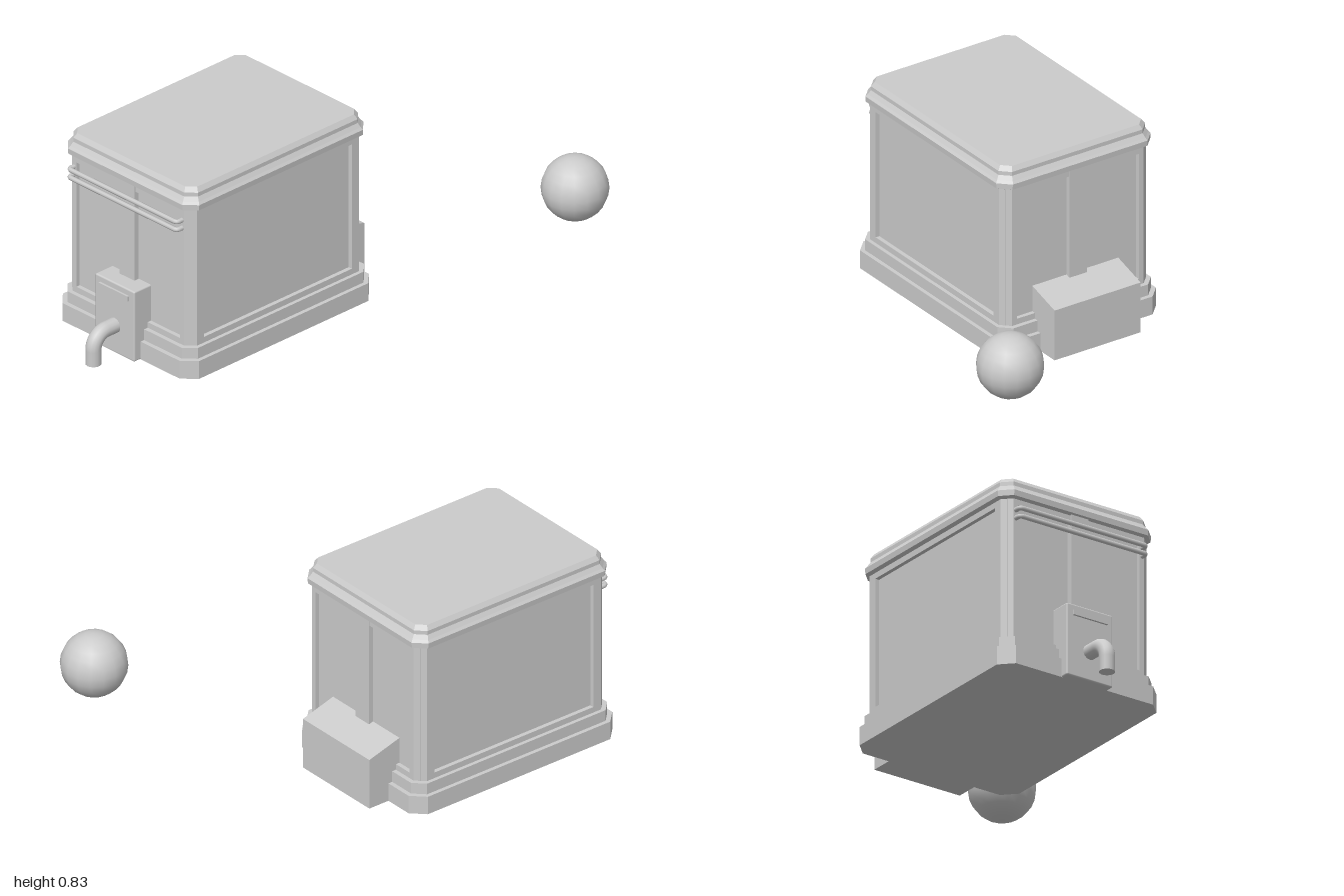
import * as THREE from 'three';
import { RoundedBoxGeometry } from 'three/addons/geometries/RoundedBoxGeometry.js';

const smooth = new THREE.MeshStandardMaterial({ color: 0xcccccc });
const flat = new THREE.MeshStandardMaterial({ color: 0xcccccc, flatShading: true });

function add(parent, name, geometry, x = 0, y = 0, z = 0, material = flat) {
  const mesh = new THREE.Mesh(geometry, material);
  mesh.name = name;
  mesh.position.set(x, y, z);
  parent.add(mesh);
  return mesh;
}

// Stack of rectangles with cut corners; each level is [halfX, halfZ, cut, y]
function cutCornerStack(levels) {
  const pos = [], index = [], n = 8, last = (levels.length - 1) * n;
  for (const [w, d, c, y] of levels) {
    const ring = [[w, -d + c], [w, d - c], [w - c, d], [-w + c, d],
      [-w, d - c], [-w, -d + c], [-w + c, -d], [w - c, -d]];
    for (const [x, z] of ring) pos.push(x, y, z);
  }
  for (let i = 0; i < last; i += n) {
    for (let j = 0; j < n; j++) {
      const a = i + j, d = i + (j + 1) % n;
      index.push(a, a + n, d + n, a, d + n, d);
    }
  }
  for (let j = 1; j < n - 1; j++) {
    index.push(0, j, j + 1, last, last + j + 1, last + j);
  }
  const g = new THREE.BufferGeometry();
  g.setAttribute('position', new THREE.Float32BufferAttribute(pos, 3));
  g.setIndex(index);
  const out = g.toNonIndexed();
  out.computeVertexNormals();
  return out;
}

const prism = (w, d, c, y0, y1) => cutCornerStack([[w, d, c, y0], [w, d, c, y1]]);

const polygon = (points) => new THREE.Shape(points.map(([x, y]) => new THREE.Vector2(x, y)));

export function createModel() {
  const model = new THREE.Group();
  const building = new THREE.Group();
  building.name = 'building';
  building.position.set(-0.284, 0, 0.305);
  model.add(building);

  // Stepped base
  add(building, 'baseLower', prism(0.384, 0.514, 0.054, 0.005, 0.084));
  add(building, 'baseUpper', prism(0.367, 0.495, 0.045, 0.084, 0.132));

  // Recessed wall panels framed by collars and corner posts
  add(building, 'wallPanels', new THREE.BoxGeometry(0.666, 0.61, 0.916), 0, 0.435, 0);
  add(building, 'lowerCollar', prism(0.351, 0.476, 0.037, 0.13, 0.157));
  add(building, 'upperCollar', prism(0.351, 0.476, 0.037, 0.71, 0.742));
  for (const sx of [-1, 1]) {
    for (const sz of [-1, 1]) {
      const outline = [[0.291, 0.476], [0.314, 0.476], [0.351, 0.439], [0.351, 0.401], [0.291, 0.401]];
      const post = new THREE.ExtrudeGeometry(
        polygon(outline.map(([x, z]) => [x * sx, z * sz])),
        { depth: 0.57, bevelEnabled: false });
      post.rotateX(-Math.PI / 2);
      add(building, 'cornerPost', post, 0, 0.15, 0);
    }
  }

  // Moulded roof
  add(building, 'roof', cutCornerStack([
    [0.354, 0.478, 0.038, 0.735],
    [0.367, 0.49, 0.045, 0.742],
    [0.369, 0.492, 0.047, 0.766],
    [0.361, 0.484, 0.044, 0.776],
    [0.350, 0.472, 0.038, 0.793],
    [0.350, 0.472, 0.038, 0.81],
    [0.337, 0.459, 0.033, 0.829],
  ]));

  // Centre strips on the front and back walls
  add(building, 'frontStrip', new THREE.BoxGeometry(0.083, 0.61, 0.04), 0, 0.435, 0.462);
  add(building, 'backStrip', new THREE.BoxGeometry(0.083, 0.61, 0.04), 0, 0.435, -0.458);

  // Two rails with ends turned in to the front wall
  for (const y of [0.687, 0.652]) {
    const path = new THREE.CurvePath();
    const v = (x, z) => new THREE.Vector3(x, y, z);
    path.add(new THREE.LineCurve3(v(-0.304, 0.465), v(-0.304, 0.49)));
    path.add(new THREE.QuadraticBezierCurve3(v(-0.304, 0.49), v(-0.304, 0.505), v(-0.289, 0.505)));
    path.add(new THREE.LineCurve3(v(-0.289, 0.505), v(0.289, 0.505)));
    path.add(new THREE.QuadraticBezierCurve3(v(0.289, 0.505), v(0.304, 0.505), v(0.304, 0.49)));
    path.add(new THREE.LineCurve3(v(0.304, 0.49), v(0.304, 0.465)));
    add(building, 'frontRail', new THREE.TubeGeometry(path, 160, 0.01, 8), 0, 0, 0, smooth);
  }

  // Front outlet box with its slot plate
  add(building, 'outletBox', new RoundedBoxGeometry(0.221, 0.311, 0.11, 2, 0.007), 0, 0.1605, 0.494, smooth);
  add(building, 'slotPlate', new THREE.BoxGeometry(0.164, 0.022, 0.02), 0, 0.278, 0.548);

  // Spout bending down to the ground
  const spout = new THREE.CurvePath();
  const p = (y, z) => new THREE.Vector3(0, y, z);
  spout.add(new THREE.LineCurve3(p(0.128, 0.53), p(0.128, 0.6)));
  spout.add(new THREE.CubicBezierCurve3(p(0.128, 0.6), p(0.128, 0.635), p(0.099, 0.664), p(0.064, 0.664)));
  spout.add(new THREE.LineCurve3(p(0.064, 0.664), p(0, 0.664)));
  add(building, 'spout', new THREE.TubeGeometry(spout, 30, 0.032, 14), 0, 0, 0, smooth);
  const cap = add(building, 'spoutEnd', new THREE.CircleGeometry(0.032, 14), 0, 0, 0.664);
  cap.rotation.x = Math.PI / 2;

  // Rear box with a sloping lid
  const rear = new THREE.ExtrudeGeometry(
    polygon([[0.44, 0.005], [0.61, 0.005], [0.61, 0.225], [0.473, 0.265], [0.44, 0.275]]),
    { depth: 0.411, bevelEnabled: false });
  rear.rotateY(Math.PI / 2);
  add(building, 'rearBox', rear, -0.2055, 0, 0);

  // Separate floating ball
  add(model, 'ball', new THREE.SphereGeometry(0.135, 16, 12), 0.527, 0.41, -0.865, smooth);

  return model;
}
